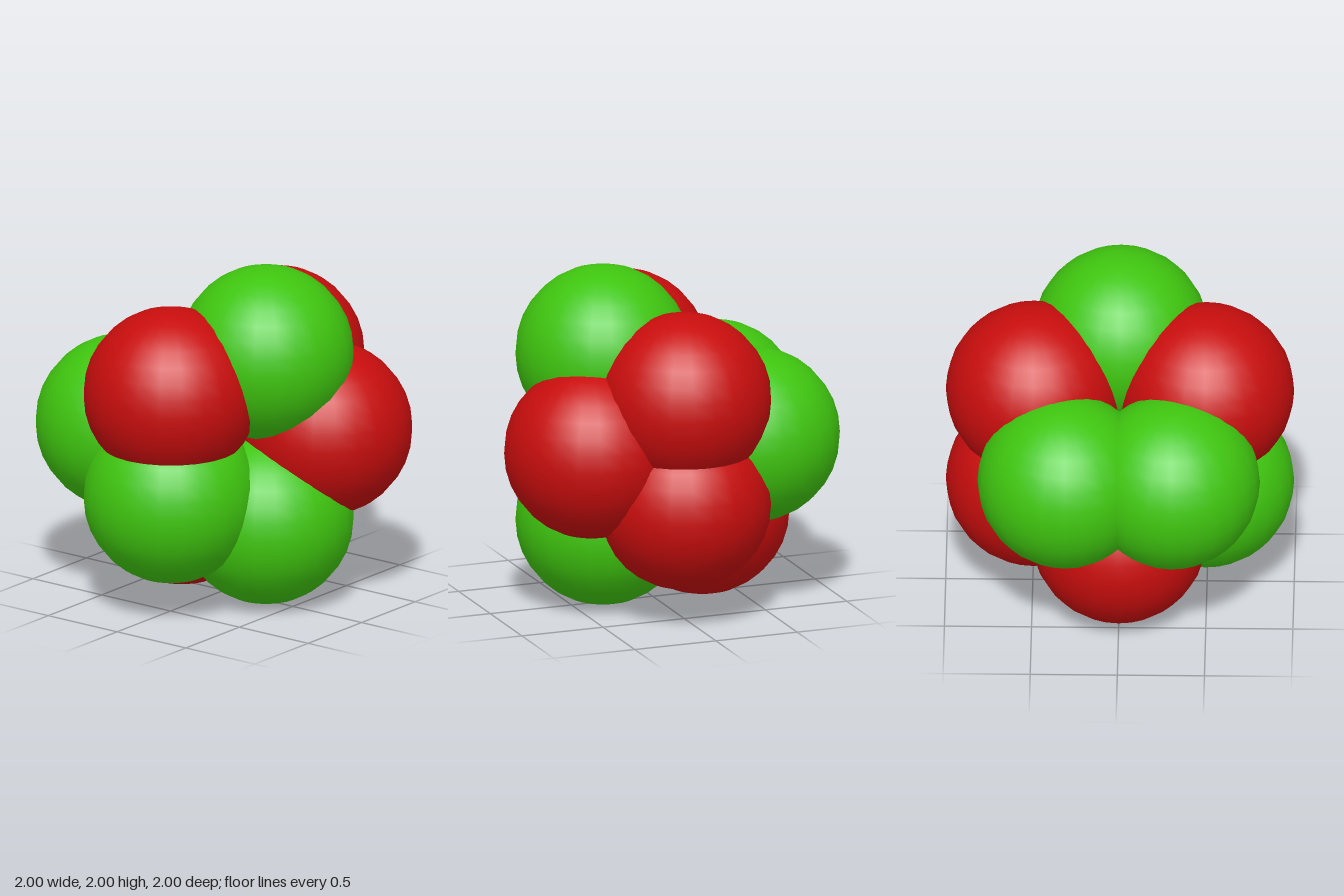
import * as THREE from 'three';

// Ten overlapping balls sitting on the corners of an icosahedron (two corners left empty)
export function createModel() {
  const group = new THREE.Group();
  group.name = 'ballCluster';

  const R = 0.505;  // ball radius
  const S = 0.306;  // short icosahedron coordinate
  const L = 0.495;  // long icosahedron coordinate

  const red = new THREE.MeshStandardMaterial({ color: 0xc80d0d });
  const green = new THREE.MeshStandardMaterial({ color: 0x3fc50f });
  const ball = new THREE.SphereGeometry(R, 24, 16);

  // name, material, centre relative to the middle of the cluster
  const balls = [
    ['frontUpperBall', red, 0, S, L],
    ['frontLowerBall', green, 0, -S, L],
    ['backUpperBall', red, 0, S, -L],
    ['backLowerBall', red, 0, -S, -L],
    ['topLeftBall', green, S, L, 0],
    ['bottomLeftBall', green, S, -L, 0],
    ['bottomRightBall', red, -S, -L, 0],
    ['leftBackBall', red, L, 0, -S],
    ['rightFrontBall', green, -L, 0, S],
    ['rightBackBall', green, -L, 0, -S],
  ];

  for (const [name, material, x, y, z] of balls) {
    const mesh = new THREE.Mesh(ball, material);
    mesh.name = name;
    mesh.position.set(x, y + 1, z);
    group.add(mesh);
  }
  return group;
}
